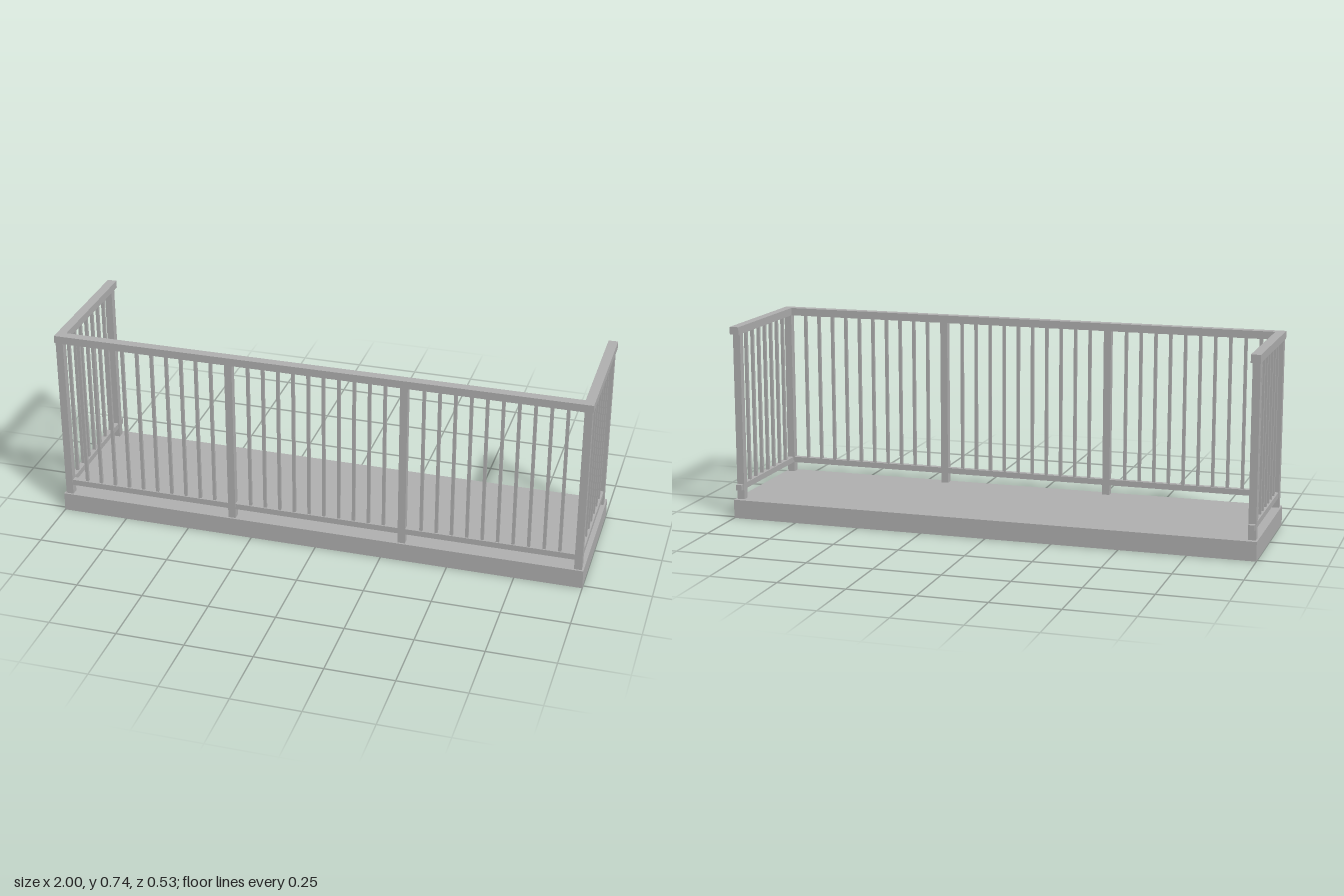
import * as THREE from 'three';

export function createModel() {
  const model = new THREE.Group();
  model.name = 'balcony';
  const grey = new THREE.MeshStandardMaterial({ color: 0xb0b0b0 });
  grey.name = 'grey';

  // Box given by its extents on each axis
  function block(name, [x0, x1], [y0, y1], [z0, z1], parent = model) {
    const mesh = new THREE.Mesh(new THREE.BoxGeometry(x1 - x0, y1 - y0, z1 - z0), grey);
    mesh.name = name;
    mesh.position.set((x0 + x1) / 2, (y0 + y1) / 2, (z0 + z1) / 2);
    parent.add(mesh);
  }
  const around = (c, size) => [c - size / 2, c + size / 2];

  const floorY = 0.071, lowY = [0.108, 0.13], topY = [0.706, 0.735];
  const postW = 0.028, barW = 0.0115, railW = 0.035, lowW = 0.022;
  const endX = 0.979, frontZ = 0.2445, backZ = -0.233, rearZ = -0.266;

  // Floor slab
  block('floorSlab', [-1, 1], [0, floorY], [-0.266, 0.266]);

  // Front railing: posts, rails and balusters in three bays
  const front = new THREE.Group();
  front.name = 'frontRailing';
  model.add(front);
  const pitch = (2 * endX) / 3;
  for (let i = 0; i < 4; i++) {
    const x = -endX + i * pitch;
    block('frontPost', around(x, postW), [floorY, topY[0]], around(frontZ, postW), front);
    if (i === 3) break;
    const x0 = x + postW / 2, x1 = x + pitch - postW / 2;
    block('frontLowerRail', [x0, x1], lowY, around(frontZ, lowW), front);
    for (let k = 1; k <= 10; k++) {
      const bx = x0 + ((x1 - x0) * k) / 11;
      block('frontBaluster', around(bx, barW), [lowY[1], topY[0]], around(frontZ, barW), front);
    }
  }
  const innerZ = frontZ - railW / 2;
  block('frontHandrail', [-endX - railW / 2, endX + railW / 2], topY, around(frontZ, railW), front);

  // Side railings, with rails running past the rear posts
  for (const side of [-1, 1]) {
    const rail = new THREE.Group();
    rail.name = side > 0 ? 'leftRailing' : 'rightRailing';
    model.add(rail);
    const x = side * endX;
    block('rearPost', around(x, postW), [floorY, topY[0]], around(backZ, postW), rail);
    block('sideHandrail', around(x, railW), topY, [rearZ, innerZ], rail);
    const z0 = backZ + postW / 2, z1 = frontZ - postW / 2;
    block('sideLowerRail', around(x, lowW), lowY, [rearZ, z1], rail);
    for (let k = 1; k <= 7; k++) {
      const bz = z0 + ((z1 - z0) * k) / 8;
      block('sideBaluster', around(x, barW), [lowY[1], topY[0]], around(bz, barW), rail);
    }
  }
  return model;
}
